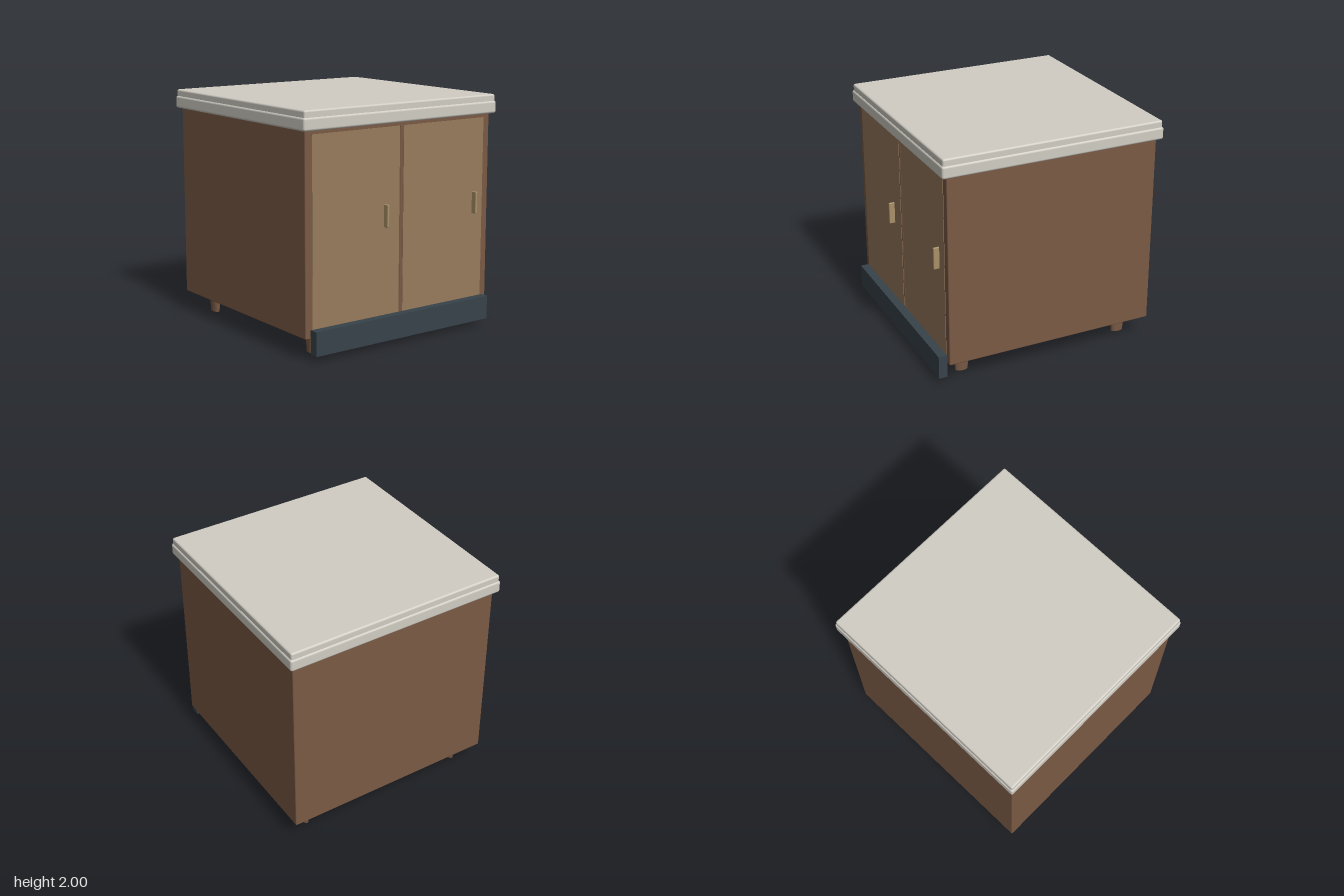
import * as THREE from 'three';
import { RoundedBoxGeometry } from 'three/addons/geometries/RoundedBoxGeometry.js';

const paint = (color) => new THREE.MeshStandardMaterial({ color });

export function createModel() {
  const model = new THREE.Group();
  const brown = paint(0x7a5a45);
  const tan = paint(0x977b5d);
  const stone = paint(0xd1cdc4);
  const slate = paint(0x37424a);
  const brass = paint(0xa89068);

  const add = (name, geometry, material, x = 0, y = 0, z = 0) => {
    const mesh = new THREE.Mesh(geometry, material);
    mesh.name = name;
    mesh.position.set(x, y, z);
    model.add(mesh);
    return mesh;
  };

  // Box given by its extents, with optional edge rounding
  const block = (name, material, [x0, x1], [y0, y1], [z0, z1], radius = 0) => {
    const size = [x1 - x0, y1 - y0, z1 - z0];
    const geometry = radius
      ? new RoundedBoxGeometry(...size, 3, radius)
      : new THREE.BoxGeometry(...size);
    return add(name, geometry, material, (x0 + x1) / 2, (y0 + y1) / 2, (z0 + z1) / 2);
  };

  // Carcass
  block('cabinetBody', brown, [-0.96, 0.956], [0.177, 1.85], [-0.95, 0.922], 0.01);

  // Stepped worktop
  block('worktopLower', stone, [-1, 0.995], [1.837, 1.945], [-0.995, 0.971], 0.02);
  block('worktopUpper', stone, [-0.99, 0.985], [1.925, 2], [-0.985, 0.961], 0.016);

  // Doors either side of a slim centre post
  block('leftDoor', tan, [0.018, 0.89], [0.2, 1.806], [0.88, 0.926]);
  block('rightDoor', tan, [-0.895, -0.024], [0.2, 1.806], [0.88, 0.926]);
  const post = new THREE.CylinderGeometry(0.015, 0.015, 1.6, 16);
  add('centrePost', post, brown, -0.003, 1.0, 0.914);
  block('centrePostCap', brown, [-0.025, 0.019], [1.795, 1.806], [0.9, 0.929]);

  // Upright pulls with softened corners
  for (const [name, x] of [['rightHandle', -0.175], ['leftHandle', 0.785]]) {
    block(name, brass, [x - 0.01, x + 0.01], [0.99, 1.18], [0.915, 0.975], 0.006);
  }

  // Kick board
  block('kickBoard', slate, [-0.913, 0.91], [0.05, 0.252], [0.924, 1]);

  // Tapered oval legs
  const leg = new THREE.CylinderGeometry(0.075, 0.055, 0.19, 24);
  leg.scale(0.53, 1, 1);
  for (const x of [-0.773, 0.768]) {
    for (const z of [0.738, -0.763]) {
      add(`${z > 0 ? 'front' : 'back'}${x > 0 ? 'Left' : 'Right'}Leg`, leg, brown, x, 0.095, z);
    }
  }

  return model;
}
